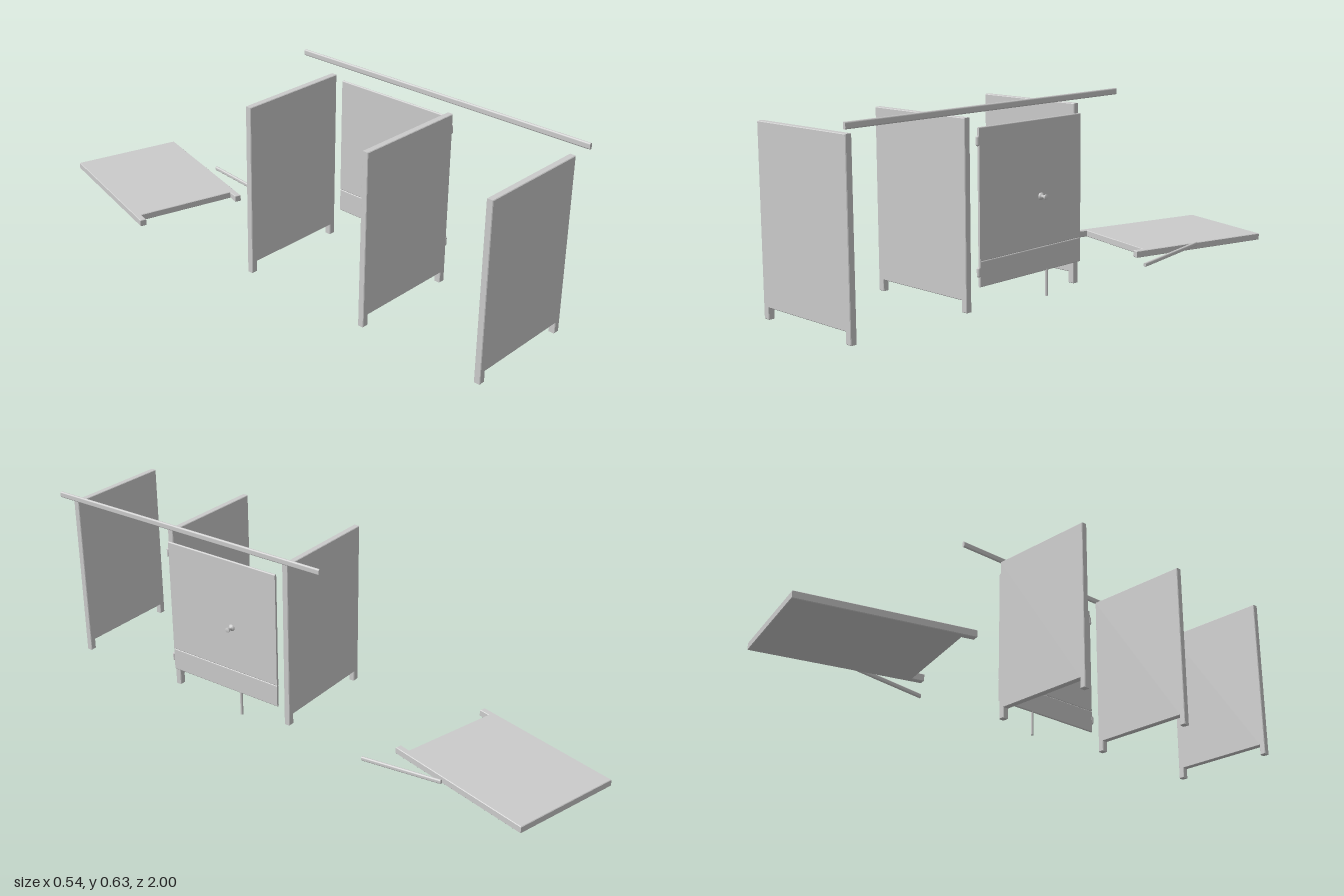
import * as THREE from 'three';

const mat = new THREE.MeshStandardMaterial({ color: 0xcccccc });

function add(parent, name, geometry, x = 0, y = 0, z = 0) {
  const mesh = new THREE.Mesh(geometry, mat);
  mesh.name = name;
  mesh.position.set(x, y, z);
  parent.add(mesh);
  return mesh;
}

// Board with two short feet, bottom at y = 0, centred in x and z
function panelGeometry(width, height, legHeight, legWidth, depth) {
  const b = 0.002, w = width / 2 - b, h = height - b;
  const inner = w - legWidth + 2 * b, notch = legHeight + b;
  const shape = new THREE.Shape([
    [-w, b], [-inner, b], [-inner, notch], [inner, notch],
    [inner, b], [w, b], [w, h], [-w, h],
  ].map(([x, y]) => new THREE.Vector2(x, y)));
  const g = new THREE.ExtrudeGeometry(shape, {
    depth: depth - 2 * b, bevelThickness: b, bevelSize: b, bevelSegments: 1,
  });
  return g.translate(0, 0, -depth / 2 + b);
}

// Bar along z with an upright oval section
function barGeometry(width, height, length) {
  const r = width / 2, s = height / 2 - r;
  const shape = new THREE.Shape();
  shape.absarc(0, s, r, 0, Math.PI, false);
  shape.absarc(0, -s, r, Math.PI, Math.PI * 2, false);
  shape.closePath();
  return new THREE.ExtrudeGeometry(shape, { depth: length, bevelEnabled: false, curveSegments: 8 })
    .translate(0, 0, -length / 2);
}

export function createModel() {
  const model = new THREE.Group();
  model.name = 'stallPartitions';

  // Three upright dividers
  const divider = panelGeometry(0.4, 0.589, 0.037, 0.022, 0.022);
  [0.962, 0.521, 0.039].forEach((z, i) => add(model, `dividerPanel${i + 1}`, divider, -0.025, 0.003, z));

  // Panel lying flat on the floor
  const loose = new THREE.Group();
  loose.name = 'lyingPanel';
  const flat = add(loose, 'lyingBoard', panelGeometry(0.4, 0.557, 0.04, 0.022, 0.024), 0, 0, 0.2785);
  flat.rotation.x = -Math.PI / 2;
  loose.position.set(-0.003, 0.018, -0.678);
  loose.rotation.y = -0.273;
  model.add(loose);

  // Head rail and loose bar
  add(model, 'headRail', barGeometry(0.01, 0.021, 1.12), 0.205, 0.62, 0.44);
  const bar = add(model, 'looseBar', barGeometry(0.01, 0.015, 0.297), 0.205, 0.0215, -0.434);
  bar.rotation.x = 0.086;

  // Door in two boards with rounded long edges
  const door = new THREE.Group();
  door.name = 'door';
  model.add(door);
  add(door, 'doorUpper', barGeometry(0.008, 0.403, 0.45), 0.203, 0.3635, 0.279);
  add(door, 'doorLower', barGeometry(0.008, 0.08, 0.45), 0.203, 0.123, 0.279);

  // Hinges
  for (const y of [0.13, 0.525]) {
    add(door, 'hinge', new THREE.CapsuleGeometry(0.006, 0.02, 4, 12), 0.203, y, 0.507);
  }

  // Latch with a flared knob on each side
  const profile = [[0, -0.028], [0.008, -0.028], [0.009, -0.025], [0.005, -0.016], [0.004, -0.011],
    [0.009, -0.008], [0.012, -0.005], [0.012, 0.005], [0.009, 0.008], [0.004, 0.011],
    [0.005, 0.016], [0.009, 0.025], [0.008, 0.028], [0, 0.028]];
  const knob = new THREE.LatheGeometry(profile.map(([r, y]) => new THREE.Vector2(r, y)), 16);
  add(door, 'latchKnob', knob.rotateZ(-Math.PI / 2), 0.204, 0.323, 0.239);

  // Floor pin below the door
  add(door, 'floorPin', new THREE.CylinderGeometry(0.005, 0.005, 0.088, 12), 0.204, 0.044, 0.21);

  return model;
}
